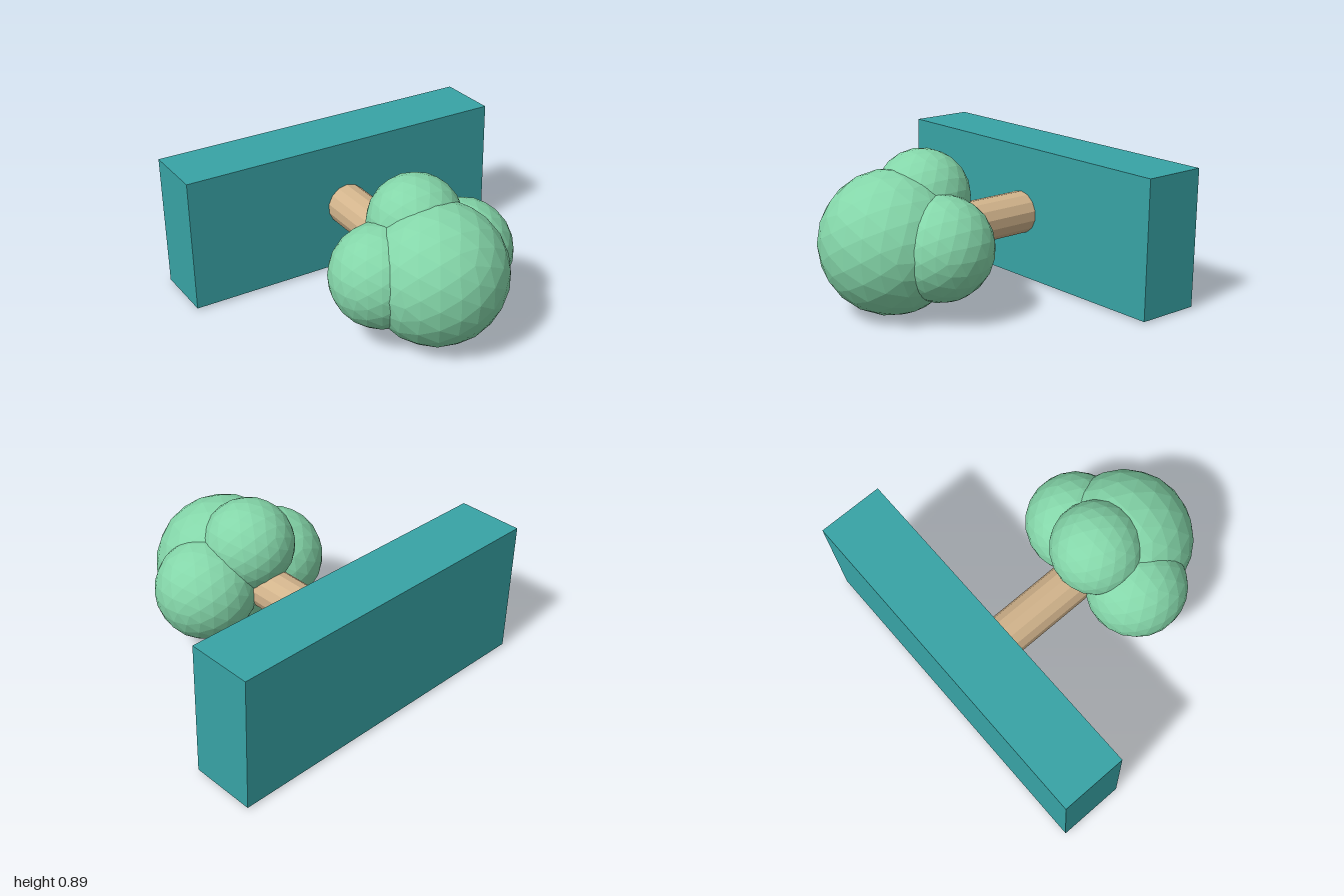
import * as THREE from 'three';

export function createModel() {
  const group = new THREE.Group();
  const teal = new THREE.MeshStandardMaterial({ color: 0x38a3a5, flatShading: true });
  teal.name = 'teal';
  const green = new THREE.MeshStandardMaterial({ color: 0x84d6a9, flatShading: true });
  green.name = 'leafGreen';
  const tan = new THREE.MeshStandardMaterial({ color: 0xd2b48c, flatShading: true });
  tan.name = 'barkTan';

  const add = (name, geometry, material, x, y, z) => {
    const mesh = new THREE.Mesh(geometry, material);
    mesh.name = name;
    mesh.position.set(x, y, z);
    group.add(mesh);
    return mesh;
  };

  // Slab behind the tree
  add('baseSlab', new THREE.BoxGeometry(2, 0.79, 0.38), teal, 0, 0.405, -0.67);

  // Trunk running forward from the slab into the crown
  const trunk = add('trunk', new THREE.CylinderGeometry(0.125, 0.125, 0.68, 14), tan, 0, 0.405, -0.14);
  trunk.rotation.x = Math.PI / 2;

  // Crown of faceted balls
  const ball = (name, r, x, y, z) =>
    add(name, new THREE.IcosahedronGeometry(r, 3), green, x, y, z);
  ball('crownMain', 0.4, 0, 0.4, 0.46);
  ball('crownTop', 0.267, 0, 0.62, 0.245);
  for (const side of [1, -1]) {
    ball(side > 0 ? 'crownLeft' : 'crownRight', 0.293, side * 0.26, 0.4, 0.32);
  }

  return group;
}
